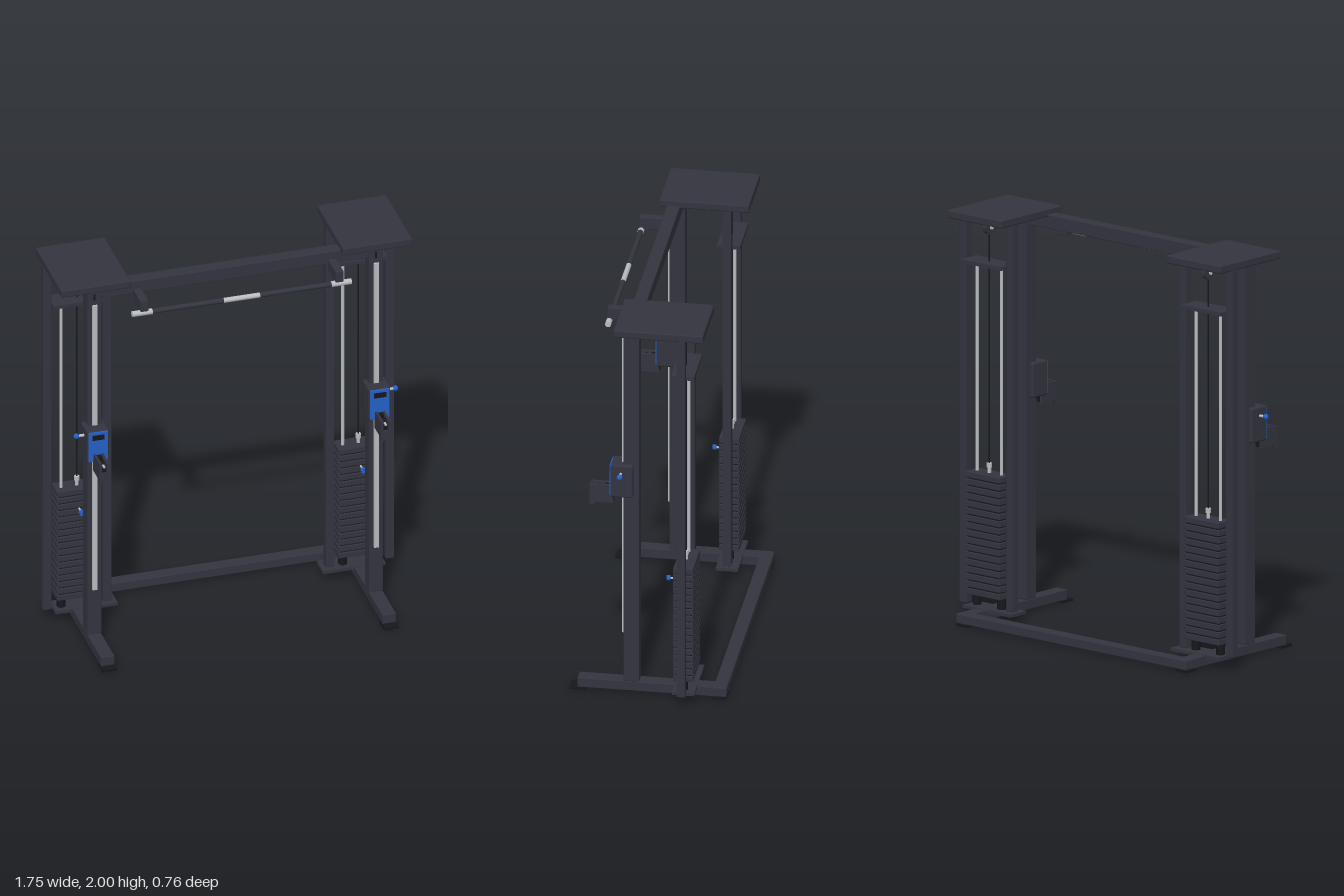
import * as THREE from 'three';
import { RoundedBoxGeometry } from 'three/addons/geometries/RoundedBoxGeometry.js';

const mat = (name, color) => {
  const m = new THREE.MeshStandardMaterial({ color });
  m.name = name;
  return m;
};

export function createModel() {
  const root = new THREE.Group();
  root.name = 'cableMachine';
  const frame = mat('charcoal frame', 0x343440);
  const black = mat('black rubber', 0x17171c);
  const silver = mat('silver steel', 0xb9bdc0);
  const blue = mat('blue paint', 0x2460c8);

  const add = (parent, name, geo, m, x, y, z) => {
    const mesh = new THREE.Mesh(geo, m);
    mesh.name = name;
    mesh.position.set(x, y, z);
    parent.add(mesh);
    return mesh;
  };
  // box given by its min/max extents, optionally with rounded edges
  const box = (parent, name, m, [x0, x1], [y0, y1], [z0, z1], r = 0) => {
    const w = Math.abs(x1 - x0), h = y1 - y0, d = z1 - z0;
    const geo = r ? new RoundedBoxGeometry(w, h, d, 2, r) : new THREE.BoxGeometry(w, h, d);
    return add(parent, name, geo, m, (x0 + x1) / 2, (y0 + y1) / 2, (z0 + z1) / 2);
  };
  // cylinder centred on a point, along the chosen axis
  const rod = (parent, name, m, axis, r, len, x, y, z, seg = 16) => {
    const geo = new THREE.CylinderGeometry(r, r, len, seg);
    if (axis === 'x') geo.rotateZ(Math.PI / 2);
    if (axis === 'z') geo.rotateX(Math.PI / 2);
    return add(parent, name, geo, m, x, y, z);
  };
  const pulley = (parent, r, width, x, y, z) => {
    const h = width / 2;
    const pts = [[0, -h], [r, -h], [r, -h * 0.6], [r * 0.8, 0], [r, h * 0.6], [r, h], [0, h]];
    const geo = new THREE.LatheGeometry(pts.map(p => new THREE.Vector2(...p)), 24).toNonIndexed();
    geo.computeVertexNormals();
    geo.rotateZ(Math.PI / 2);
    add(parent, 'pulley', geo, frame, x, y, z);
    rod(parent, 'pulleyAxle', silver, 'x', r * 0.3, width + 0.012, x, y, z);
  };

  for (const s of [-1, 1]) {
    const tower = new THREE.Group();
    tower.name = s < 0 ? 'rightTower' : 'leftTower';
    root.add(tower);
    const cx = 0.7 * s;
    const span = (half) => [cx - half, cx + half];

    // base foot, ground pads and roof plate
    box(tower, 'foot', frame, span(0.034), [0.012, 0.062], [-0.375, 0.34], 0.004);
    box(tower, 'frontPad', black, span(0.037), [0, 0.012], [0.3, 0.378]);
    box(tower, 'rearPad', black, span(0.037), [0, 0.012], [-0.378, -0.31]);
    box(tower, 'roofPlate', frame, span(0.173), [1.96, 2], [-0.288, 0.145], 0.007);

    // main column with its slide rail
    box(tower, 'column', frame, span(0.035), [0.062, 1.962], [0.042, 0.117], 0.004);
    box(tower, 'slideRail', silver, span(0.012), [0.31, 1.88], [0.115, 0.127]);
    box(tower, 'columnSlot', black, span(0.005), [1.905, 1.94], [0.116, 0.119]);

    // rear posts and their plates
    for (const px of [0.852, 0.554]) {
      box(tower, 'post', frame, [s * px - 0.021, s * px + 0.021], [0.065, 1.962], [-0.201, -0.159], 0.003);
    }
    box(tower, 'basePlate', frame, [0.51 * s, 0.82 * s], [0.05, 0.065], [-0.238, -0.13]);
    box(tower, 'guidePlate', frame, [0.575 * s, 0.831 * s], [1.738, 1.756], [-0.238, -0.127]);

    // weight stack on guide rods
    for (const gx of [0.778, 0.622]) {
      rod(tower, 'guideRod', silver, 'y', 0.008, 1.69, gx * s, 0.9, -0.18);
      rod(tower, 'stackBumper', black, 'y', 0.021, 0.05, gx * s, 0.088, -0.18);
    }
    const count = 17, pitch = 0.0357;
    for (let i = 0; i < count; i++) {
      const y = 0.12 + i * pitch;
      box(tower, 'weightPlate', frame, span(0.111), [y, y + 0.029], [-0.23, -0.134], 0.003);
    }
    box(tower, 'stackCore', black, span(0.103), [0.125, 0.715], [-0.223, -0.141]);
    rod(tower, 'selectorShaft', silver, 'z', 0.005, 0.045, cx, 0.612, -0.118, 12);
    rod(tower, 'selectorKnob', blue, 'z', 0.013, 0.018, cx, 0.612, -0.095);
    rod(tower, 'cableStem', silver, 'y', 0.009, 0.03, cx, 0.735, -0.18);
    rod(tower, 'cableSocket', silver, 'y', 0.013, 0.022, cx, 0.758, -0.18);

    // cable and roof pulleys
    rod(tower, 'liftCable', black, 'y', 0.004, 1.17, cx, 1.345, -0.18, 8);
    pulley(tower, 0.034, 0.026, cx, 1.924, -0.18);
    pulley(tower, 0.034, 0.026, cx, 1.924, 0.07);

    // sliding carriage
    const carriage = new THREE.Group();
    carriage.name = 'carriage';
    tower.add(carriage);
    box(carriage, 'carriageBody', frame, span(0.055), [1.047, 1.22], [0.07, 0.178], 0.01);
    box(carriage, 'carriageFace', blue, span(0.049), [1.053, 1.214], [0.175, 0.183], 0.0035);
    box(carriage, 'faceSlot', black, span(0.03), [1.172, 1.198], [0.182, 0.187]);
    rod(carriage, 'popPinShaft', silver, 'x', 0.007, 0.04, 0.77 * s, 1.176, 0.127, 12);
    add(carriage, 'popPinKnob', new THREE.SphereGeometry(0.014, 16, 12), blue, 0.793 * s, 1.176, 0.127);

    // swivel arm holding the outlet pulley
    const cheek = new THREE.Shape([[0.17, 1.095], [0.283, 1.095], [0.283, 0.988], [0.262, 0.988],
      [0.255, 1.003], [0.17, 1.003]].map(p => new THREE.Vector2(...p)));
    const cheekGeo = new THREE.ExtrudeGeometry(cheek, { depth: 0.012, bevelEnabled: false });
    cheekGeo.rotateY(-Math.PI / 2);
    for (const off of [-0.012, 0.024]) add(carriage, 'armCheek', cheekGeo, frame, cx + off, 0, 0);
    box(carriage, 'armBack', black, span(0.013), [1.005, 1.09], [0.17, 0.21]);
    box(carriage, 'armNose', frame, span(0.013), [0.992, 1.04], [0.262, 0.281]);
    rod(carriage, 'armPulley', black, 'x', 0.036, 0.022, cx, 1.05, 0.235, 24);
    rod(carriage, 'outletCable', silver, 'z', 0.006, 0.02, cx, 1.075, 0.272, 12);

    // pull-up bar bracket
    box(root, 'barBracket', frame, [0.465 * s, 0.505 * s], [1.868, 1.93], [0.1, 0.232], 0.004);
  }

  // cross members
  box(root, 'rearBaseBeam', frame, [-0.735, 0.735], [0.014, 0.06], [-0.38, -0.315], 0.004);
  box(root, 'topBeam', frame, [-0.68, 0.68], [1.905, 1.972], [0.044, 0.108], 0.004);

  // pull-up bar with dark grips
  rod(root, 'pullUpBar', silver, 'x', 0.0125, 0.18, 0, 1.862, 0.222, 20);
  for (const s of [-1, 1]) {
    rod(root, 'barGrip', frame, 'x', 0.0125, 0.355, 0.2675 * s, 1.862, 0.222, 20);
    rod(root, 'barEnd', silver, 'x', 0.0145, 0.1, 0.495 * s, 1.862, 0.222, 20);
  }
  return root;
}
